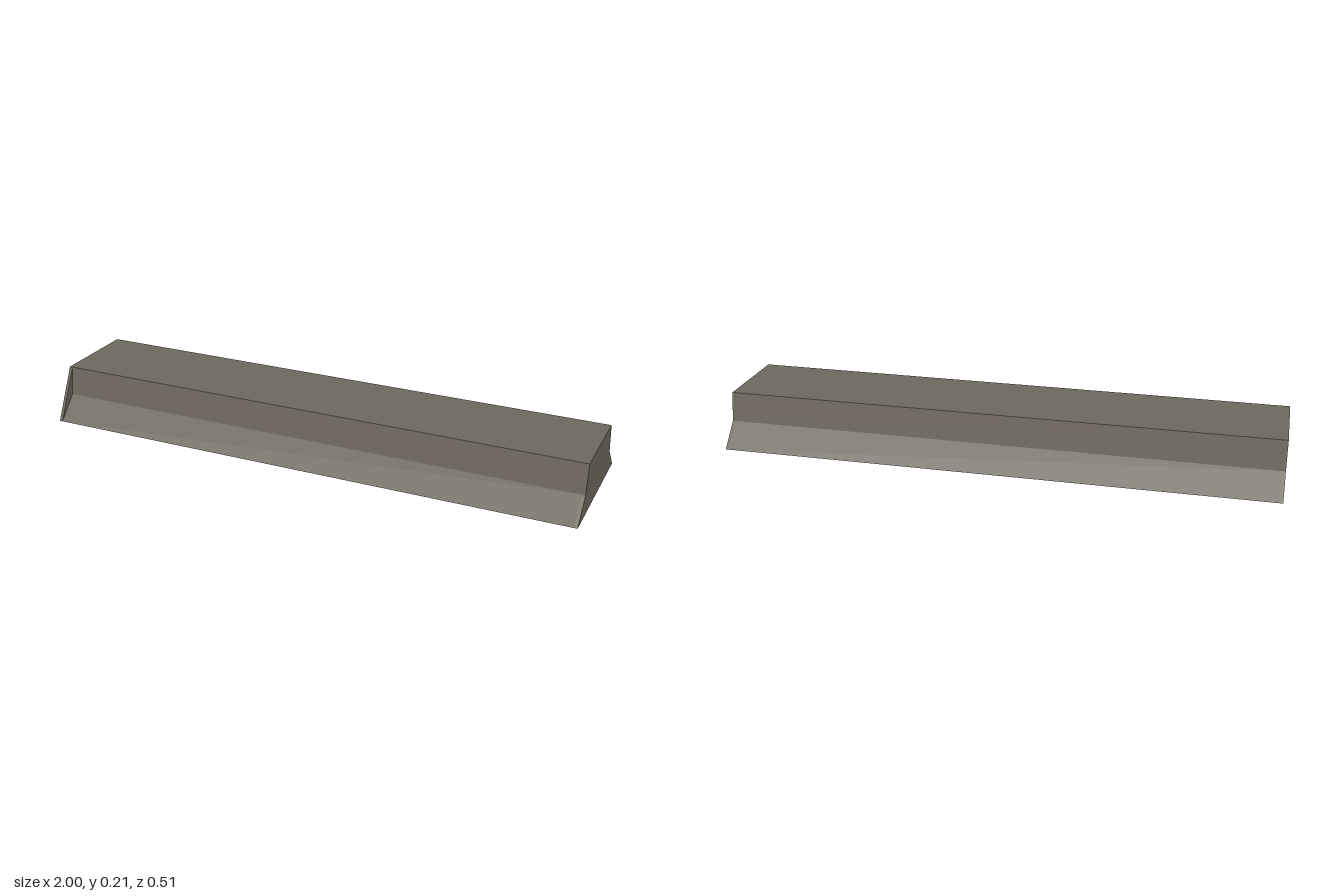
import * as THREE from 'three';

const housingMat = new THREE.MeshStandardMaterial({ color: 0x6e685e });
housingMat.name = 'painted metal';
const socketMat = new THREE.MeshStandardMaterial({ color: 0x5f5c55 });
socketMat.name = 'socket grey';
const tubeMat = new THREE.MeshStandardMaterial({ color: 0xa9a9a3 });
tubeMat.name = 'lamp glass';

// Extrudes a cross-section (first coordinate is -z, second is y) from x0 to x1
function extrudeAlongX(points, x0, x1) {
  const shape = new THREE.Shape(points.map(([a, b]) => new THREE.Vector2(a, b)));
  const geo = new THREE.ExtrudeGeometry(shape, { depth: x1 - x0, bevelEnabled: false });
  return geo.rotateY(Math.PI / 2).translate(x0, 0, 0);
}

function addMesh(parent, name, geometry, material) {
  const mesh = new THREE.Mesh(geometry, material);
  mesh.name = name;
  parent.add(mesh);
  return mesh;
}

export function createModel() {
  const model = new THREE.Group();
  model.name = 'stripLight';

  // Flared housing, hollow underneath
  const outer = [[0.255, 0.02], [0.178, 0.103], [0.162, 0.209],
    [-0.162, 0.209], [-0.178, 0.103], [-0.255, 0.02]];
  const inner = [[-0.24, 0.02], [-0.168, 0.1], [0.168, 0.1], [0.24, 0.02]];
  const cap = 0.012;
  addMesh(model, 'housing', extrudeAlongX([...outer, ...inner], -1 + cap, 1 - cap), housingMat);

  // End plates; one has a straight front edge
  addMesh(model, 'leftEndPlate', extrudeAlongX(outer, 1 - cap, 1), housingMat);
  const straight = outer.filter((p, i) => i !== 4);
  addMesh(model, 'rightEndPlate', extrudeAlongX(straight, -1, -1 + cap), housingMat);

  // Two lamps, each held by a socket at both ends
  const lampY = 0.038;
  const socketProfile = [[0, 0], [0.028, 0], [0.036, 0.006], [0.036, 0.022],
    [0.026, 0.026], [0.026, 0.042], [0, 0.042]].map(([r, h]) => new THREE.Vector2(r, h));
  for (const z of [-0.09, 0.09]) {
    const lamp = new THREE.Group();
    lamp.name = 'lamp';
    lamp.position.set(0, lampY, z);
    model.add(lamp);
    const tube = new THREE.CylinderGeometry(0.02, 0.02, 1.76, 20).rotateZ(Math.PI / 2);
    addMesh(lamp, 'lampTube', tube, tubeMat);
    for (const side of [-1, 1]) {
      const socket = new THREE.LatheGeometry(socketProfile, 20).toNonIndexed();
      socket.computeVertexNormals();
      socket.rotateZ(side * Math.PI / 2).translate(side * 0.915, 0, 0);
      addMesh(lamp, 'socket', socket, socketMat);
      const stem = new THREE.BoxGeometry(0.016, 0.064, 0.044);
      stem.translate(side * 0.901, 0.032, 0);
      addMesh(lamp, 'socketStem', stem, socketMat);
    }
  }
  return model;
}
